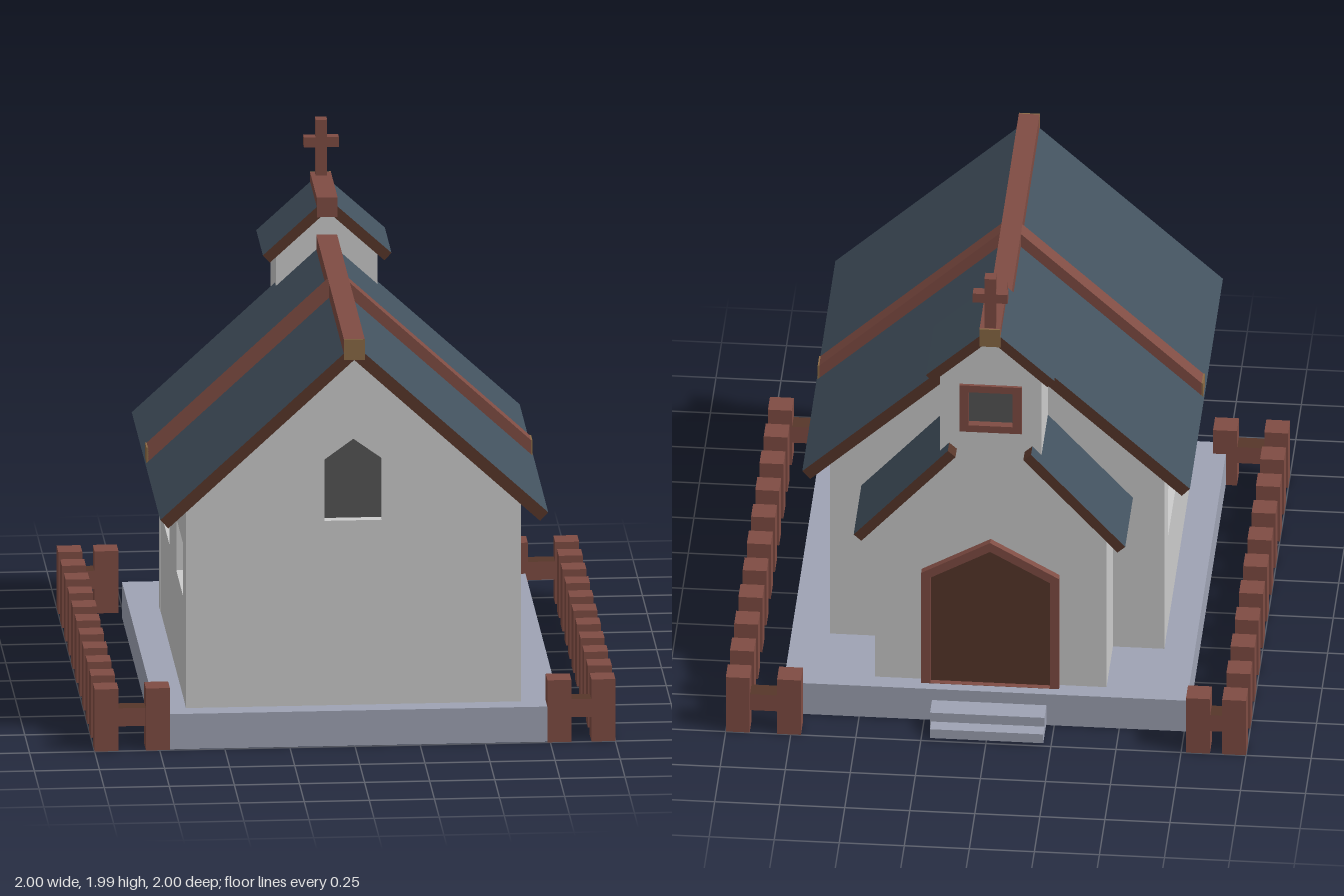
import * as THREE from 'three';

const mat = (color) => new THREE.MeshStandardMaterial({ color, flatShading: true });

export function createModel() {
  const model = new THREE.Group();
  const wall = mat(0xcccccc), stone = mat(0x9ea3b4), slate = mat(0x42515e);
  const wood = mat(0x7f4c43), darkWood = mat(0x57362a), gold = mat(0x8a6a45), glass = mat(0x555555);

  const add = (name, geometry, material, parent = model) => {
    const mesh = new THREE.Mesh(geometry, material);
    mesh.name = name;
    parent.add(mesh);
    return mesh;
  };

  // Box given by its limits on each axis
  const box = (name, [x0, x1], [y0, y1], [z0, z1], material, parent) => {
    const mesh = add(name, new THREE.BoxGeometry(x1 - x0, y1 - y0, z1 - z0), material, parent);
    mesh.position.set((x0 + x1) / 2, (y0 + y1) / 2, (z0 + z1) / 2);
    return mesh;
  };

  // Outline in x/y, with optional holes, extruded between two z values
  const prism = (name, points, z0, z1, material, holes = []) => {
    const toVec = (list) => list.map(([x, y]) => new THREE.Vector2(x, y));
    const shape = new THREE.Shape(toVec(points));
    holes.forEach((h) => shape.holes.push(new THREE.Path(toVec(h))));
    const geometry = new THREE.ExtrudeGeometry(shape, { depth: z1 - z0, bevelEnabled: false });
    return add(name, geometry.translate(0, 0, z0), material);
  };

  const house = (w, base, eave, peak) => [[-w, base], [w, base], [w, eave], [0, peak], [-w, eave]];
  const rect = (x0, x1, y0, y1) => [[x0, y0], [x1, y0], [x1, y1], [x0, y1]];

  // Pair of roof slabs: slate on top, timber edges and underside
  const roof = (name, [x0, y0], [x1, y1], thick, z0, z1) => {
    const length = Math.hypot(x1 - x0, y1 - y0);
    const angle = Math.atan2(y1 - y0, x1 - x0);
    for (const side of [1, -1]) {
      const geometry = new THREE.BoxGeometry(length, thick, z1 - z0)
        .translate(length / 2, -thick / 2, 0).rotateZ(angle);
      const mesh = add(name, geometry, [darkWood, darkWood, slate, darkWood, darkWood, darkWood]);
      mesh.position.set(side * x0, y0, (z0 + z1) / 2);
      if (side < 0) mesh.rotation.y = Math.PI;
    }
  };

  // Plinth and entrance steps
  box('plinth', [-0.76, 0.79], [0, 0.14], [-0.85, 0.99], stone);
  box('upperStep', [-0.22, 0.22], [0.01, 0.09], [-0.94, -0.85], stone);
  box('lowerStep', [-0.22, 0.215], [0.01, 0.05], [-0.995, -0.85], stone);

  // Hall gable walls, with a pointed window in the front one
  const hall = house(0.643, 0.14, 0.935, 1.535);
  const pointed = house(0.11, 0.875, 1.12, 1.2);
  prism('frontWall', hall, 0.86, 0.91, wall, [pointed]);
  prism('rearWall', hall, -0.49, -0.44, wall);
  box('frontWindow', [-0.14, 0.14], [0.85, 1.22], [0.85, 0.87], glass);

  // Long side walls with two recessed windows each
  for (const side of [1, -1]) {
    const windows = [[0.39, 0.74], [-0.315, 0.04]];
    const holes = windows.map(([a, b]) => (side > 0 ? rect(-b, -a, 0.54, 0.75) : rect(a, b, 0.54, 0.75)));
    const outline = side > 0 ? rect(-0.91, 0.49, 0.14, 0.94) : rect(-0.49, 0.91, 0.14, 0.94);
    const sideWall = prism('sideWall', outline, 0.593, 0.642, wall, holes);
    sideWall.rotation.y = side * Math.PI / 2;
    for (const [a, b] of windows) {
      box('sideWindow', [side * 0.595 - 0.008, side * 0.595 + 0.008], [0.52, 0.77], [a - 0.02, b + 0.02], glass);
    }
  }

  // Hall roof with ridge beam and a raised cross rib
  roof('hallRoof', [0, 1.59], [0.745, 0.905], 0.046, -0.54, 0.957);
  box('ridgeBeam', [-0.04, 0.04], [1.53, 1.612], [-0.5, 0.96], wood);
  box('ridgeBeamEnd', [-0.04, 0.04], [1.53, 1.612], [0.96, 0.966], gold);
  for (const s of [1, -1]) {
    prism('roofRib', [[0, 1.611], [0.04, 1.611], [0.735, 0.97], [0.735, 0.9], [0, 1.55]]
      .map(([x, y]) => [s * x, y]), 0.11, 0.18, wood);
    box('roofRibEnd', [s * 0.737 - 0.004, s * 0.737 + 0.004], [0.9, 0.97], [0.11, 0.18], gold);
  }

  // Entrance porch
  prism('porch', [[-0.445, 0.14], [0.445, 0.14], [0.445, 0.85], [0.195, 1.13], [-0.195, 1.13], [-0.445, 0.85]],
    -0.78, -0.45, wall);
  roof('porchRoof', [0.16, 1.22], [0.522, 0.82], 0.04, -0.84, -0.49);

  // Pointed door in a raised frame
  prism('doorFrame', house(0.265, 0.14, 0.64, 0.79), -0.81, -0.77, wood, [house(0.23, 0.141, 0.62, 0.75)]);
  prism('door', house(0.24, 0.141, 0.63, 0.76), -0.787, -0.77, darkWood);

  // Bell tower with a framed opening
  const tower = house(0.195, 1.05, 1.54, 1.718);
  prism('tower', tower, -0.74, -0.49, wall);
  prism('towerFace', tower, -0.78, -0.74, wall, [rect(-0.1, 0.1, 1.3, 1.47)]);
  prism('towerWindowFrame', rect(-0.12, 0.12, 1.28, 1.49), -0.792, -0.76, wood, [rect(-0.085, 0.085, 1.31, 1.46)]);
  box('towerWindow', [-0.11, 0.11], [1.29, 1.48], [-0.75, -0.742], glass);
  roof('towerRoof', [0, 1.767], [0.247, 1.542], 0.04, -0.812, -0.462);
  box('towerRidge', [-0.04, 0.04], [1.69, 1.768], [-0.815, -0.46], wood);
  box('towerRidgeEnd', [-0.04, 0.04], [1.69, 1.768], [-0.822, -0.815], gold);

  // Roof cross
  box('crossPost', [-0.022, 0.022], [1.75, 1.99], [-0.81, -0.765], wood);
  box('crossArm', [-0.067, 0.067], [1.88, 1.92], [-0.808, -0.767], wood);

  // Fences along both sides, returning one post at each end
  const railMats = [wood, wood, darkWood, darkWood, wood, wood];
  const post = (x, z, parent) => box('fencePost', [x - 0.046, x + 0.046], [0, 0.247], [z - 0.046, z + 0.046], wood, parent);
  for (const s of [1, -1]) {
    const fence = new THREE.Group();
    fence.name = s > 0 ? 'leftFence' : 'rightFence';
    model.add(fence);
    const x = s * 0.954;
    for (let i = 0; i < 11; i++) post(x, 0.953 - i * 0.1906, fence);
    box('fenceRail', [x - 0.035, x + 0.035], [0.09, 0.167], [-0.95, 0.95], railMats, fence);
    for (const end of [1, -1]) {
      const inner = s * (s * end > 0 ? 0.785 : 0.757) + (s < 0 && end < 0 ? -0.03 : 0);
      post(inner, end * 0.953, fence);
      box('returnRail', [Math.min(inner, x), Math.max(inner, x)], [0.095, 0.167],
        [end * 0.953 - 0.035, end * 0.953 + 0.035], railMats, fence);
    }
  }
  return model;
}
